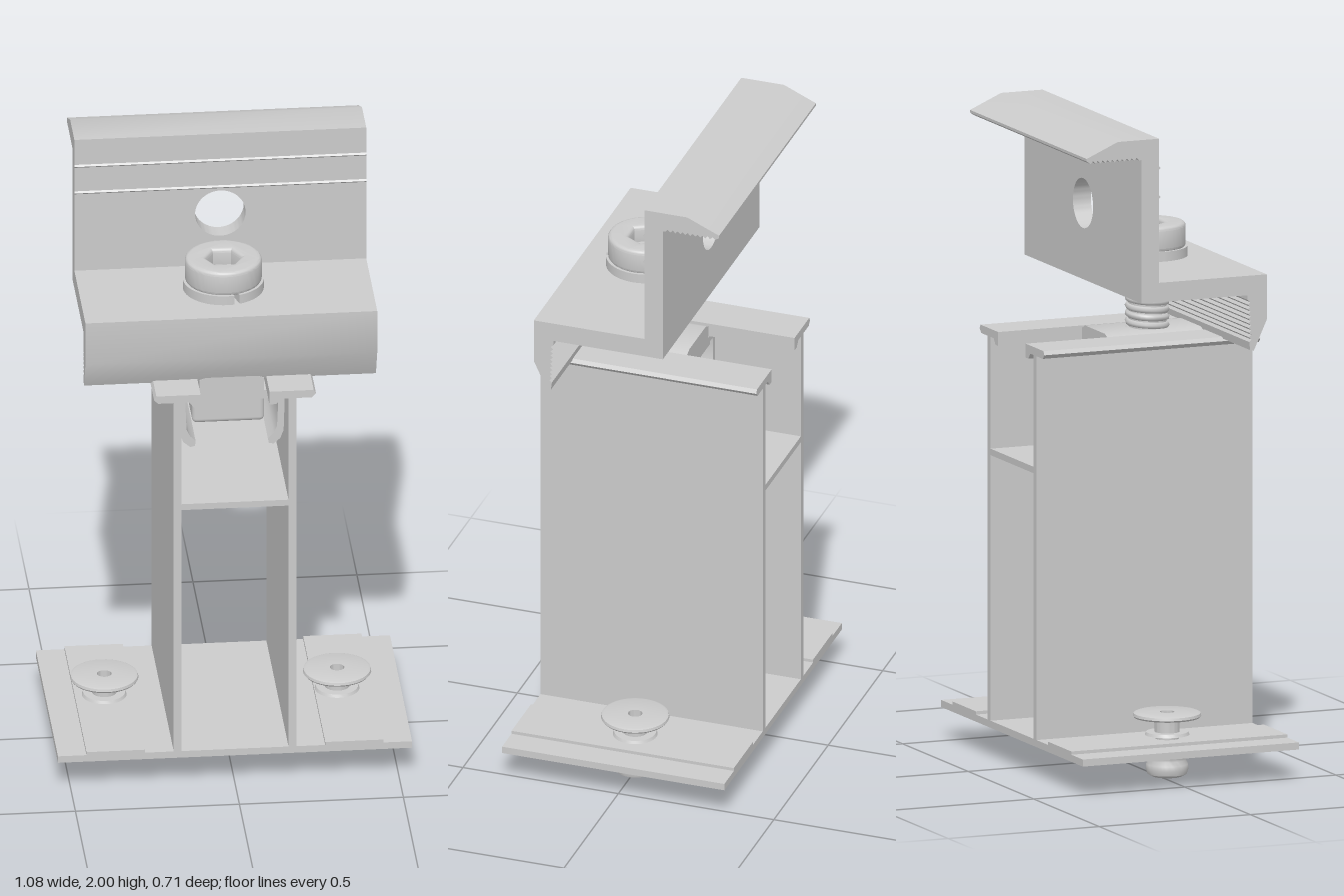
import * as THREE from 'three';
import { toCreasedNormals } from 'three/addons/utils/BufferGeometryUtils.js';
import { RoundedBoxGeometry } from 'three/addons/geometries/RoundedBoxGeometry.js';

const grey = new THREE.MeshStandardMaterial({ color: 0xcccccc });

function add(parent, name, geometry, x = 0, y = 0, z = 0) {
  const mesh = new THREE.Mesh(geometry, grey);
  mesh.name = name;
  mesh.position.set(x, y, z);
  parent.add(mesh);
  return mesh;
}

const polygon = (pts) => new THREE.Shape(pts.map(([a, b]) => new THREE.Vector2(a, b)));
const mirrored = (half) => polygon([...half, ...half.map(([x, y]) => [-x, y]).reverse()]);
const rect = (x0, y0, x1, y1) => polygon([[x0, y0], [x1, y0], [x1, y1], [x0, y1]]);
const circle = (x, y, r) => new THREE.Path().absarc(x, y, r, 0, Math.PI * 2);

function extrude(shape, depth, options = {}) {
  const geo = new THREE.ExtrudeGeometry(shape, { depth, bevelEnabled: false, curveSegments: 32, ...options });
  return toCreasedNormals(geo, 0.5);
}
// Plate drawn in (x, -z), extruded up from y = 0
const extrudeUp = (shape, depth, options) => extrude(shape, depth, options).rotateX(-Math.PI / 2);
// Profile drawn in (z, y), extruded across x
const extrudeAcross = (shape, x0, x1) => extrude(shape, x1 - x0).rotateY(-Math.PI / 2).translate(x1, 0, 0);

// Row of small teeth from a to b, standing out by (dx, dy)
function teeth(a, b, count, dx, dy) {
  const pts = [];
  for (let i = 0; i < count; i++) {
    for (const [t, k] of [[i / count, 0], [(i + 0.5) / count, 1]]) {
      pts.push([a[0] + (b[0] - a[0]) * t + dx * k, a[1] + (b[1] - a[1]) * t + dy * k]);
    }
  }
  return [...pts, b];
}

const RIVETS = [[-0.365, 0.012], [0.345, 0]];

function buildRail() {
  const rail = new THREE.Group();
  rail.name = 'rail';
  const back = -0.355, depth = 0.715, mid = back + depth / 2;

  // Two walls, web and top flanges with slot lips
  const column = mirrored([
    [0.187, 0.115], [0.187, 1.305], [0.235, 1.305], [0.247, 1.318], [0.24, 1.33], [0.105, 1.33],
    [0.105, 1.287], [0.125, 1.287], [0.14, 1.305], [0.163, 1.305], [0.163, 0.96]]);
  column.holes.push(rect(-0.163, 0.12, 0.163, 0.94));
  add(rail, 'railColumn', extrude(column, depth), 0, 0, back);

  // Base plate with rivet holes and raised bands
  const base = rect(-0.54, -depth / 2, 0.54, depth / 2);
  for (const [x] of RIVETS) {
    base.holes.push(circle(x, mid, 0.034));
    const inner = Math.sign(x) * 0.275, outer = Math.sign(x) * 0.453;
    const band = rect(Math.min(inner, outer), -depth / 2, Math.max(inner, outer), depth / 2);
    band.holes.push(circle(x, mid, 0.034));
    add(rail, 'raisedBand', extrudeUp(band, 0.01), 0, 0.12, mid);
  }
  add(rail, 'basePlate', extrudeUp(base, 0.022), 0, 0.098, mid);
  return rail;
}

function buildRivet() {
  const bore = 0.022;
  const profile = [
    [bore, 0.002], [0.045, 0.002], [0.06, 0.01], [0.065, 0.025], [0.064, 0.04], [0.057, 0.053],
    [0.058, 0.064], [0.068, 0.078], [0.069, 0.09], [0.062, 0.1], [0.036, 0.1], [0.036, 0.13],
    [0.068, 0.13], [0.064, 0.139], [0.038, 0.139], [0.038, 0.184], [0.1, 0.184], [0.104, 0.189],
    [0.102, 0.197], [0.095, 0.2], [bore, 0.2], [bore, 0.002]];
  return toCreasedNormals(
    new THREE.LatheGeometry(profile.map(([r, y]) => new THREE.Vector2(r, y)), 40).toNonIndexed(), 0.7);
}

function buildClamp() {
  const clamp = new THREE.Group();
  clamp.name = 'clamp';
  const x0 = -0.45, x1 = 0.44, wallFront = -0.063, wallBack = -0.122;

  // Foot with toothed jaw
  const foot = polygon([
    [wallBack, 1.6], [wallBack, 1.495], [0.23, 1.495],
    ...teeth([0.23, 1.48], [0.235, 1.35], 9, 0.008, 0),
    [0.238, 1.325], [0.25, 1.322], [0.293, 1.415], [0.293, 1.555], [wallFront, 1.555], [wallFront, 1.6]]);
  add(clamp, 'clampFoot', extrudeAcross(foot, x0, x1));

  // Wall with round hole
  const wall = rect(x0, 1.6, x1, 1.9);
  wall.holes.push(circle(-0.005, 1.73, 0.077));
  add(clamp, 'clampWall', extrude(wall, wallFront - wallBack), 0, 0, wallBack);

  // Top lip with toothed underside
  const lip = polygon([
    [wallFront, 1.9], [wallFront, 2], [-0.2, 2], [-0.303, 1.955], [-0.303, 1.947],
    ...teeth([-0.29, 1.938], [-0.13, 1.938], 10, 0, 0.008),
    [wallBack, 1.938], [wallBack, 1.9]]);
  add(clamp, 'clampLip', extrudeAcross(lip, x0, x1));

  // Thin ridges along the wall front
  for (const y of [1.82, 1.91]) {
    const ridge = polygon([[wallFront - 0.003, y - 0.008], [wallFront + 0.005, y], [wallFront - 0.003, y + 0.008]].reverse());
    add(clamp, 'clampRidge', extrudeAcross(ridge, x0, x1));
  }
  return clamp;
}

function buildBolt() {
  const bolt = new THREE.Group();
  bolt.name = 'bolt';

  // Rounded head with hexagonal socket
  const head = new THREE.Shape().absarc(0, 0, 0.117, 0, Math.PI * 2);
  const hexagon = [0, 1, 2, 3, 4, 5].map((i) => [0.055 * Math.cos(i * Math.PI / 3), 0.055 * Math.sin(i * Math.PI / 3)]);
  head.holes.push(polygon(hexagon));
  const bevel = 0.013;
  add(bolt, 'boltHead', extrudeUp(head, 0.08 - 2 * bevel, {
    bevelEnabled: true, bevelSize: bevel, bevelThickness: bevel, bevelOffset: -bevel, bevelSegments: 4,
  }), 0, 1.58 + bevel, 0);
  add(bolt, 'socketFloor', new THREE.CylinderGeometry(0.085, 0.085, 0.025, 32), 0, 1.595, 0);

  // Split spring washer, gap facing front
  const washer = new THREE.Shape();
  const gap = -Math.PI / 2 + 0.25;
  washer.absarc(0, 0, 0.123, gap + 0.07, gap + Math.PI * 2 - 0.07, false);
  washer.absarc(0, 0, 0.075, gap + Math.PI * 2 - 0.1, gap + 0.1, true);
  add(bolt, 'springWasher', extrudeUp(washer, 0.03), 0, 1.555, 0);

  // Shaft with helical thread
  add(bolt, 'boltShaft', new THREE.CylinderGeometry(0.058, 0.058, 0.34, 32), 0, 1.42, 0);
  const turns = 8, pitch = 0.024, pts = [];
  for (let i = 0; i <= turns * 20; i++) {
    const a = i / 20 * Math.PI * 2;
    pts.push(new THREE.Vector3(0.058 * Math.cos(a), 1.31 + pitch * i / 20, 0.058 * Math.sin(a)));
  }
  add(bolt, 'boltThread', new THREE.TubeGeometry(new THREE.CatmullRomCurve3(pts), turns * 28, 0.0105, 6));
  return bolt;
}

function buildSlotNut() {
  const nut = new THREE.Group();
  nut.name = 'slotNut';
  const back = -0.08, depth = 0.335;

  // Clip: neck in the slot, body below, hooked arms at both sides
  const clip = mirrored([
    [0.112, 1.255], [0.112, 1.265], [0.138, 1.265], [0.142, 1.255], [0.138, 1.16], [0.128, 1.138],
    [0.11, 1.118], [0.113, 1.103], [0.127, 1.1], [0.148, 1.118], [0.158, 1.145],
    [0.162, 1.27], [0.155, 1.284], [0.098, 1.284], [0.098, 1.325], [0.075, 1.335]]);
  add(nut, 'nutClip', extrude(clip, depth), 0, 0, back);
  add(nut, 'nutBlock', new RoundedBoxGeometry(0.22, 0.108, 0.22, 3, 0.015), -0.005, 1.203, 0.088);
  return nut;
}

export function createModel() {
  const model = new THREE.Group();
  model.name = 'railMountWithClamp';
  model.add(buildRail(), buildClamp(), buildSlotNut());

  const bolt = buildBolt();
  bolt.position.set(-0.01, 0, 0.088);
  model.add(bolt);

  const rivet = buildRivet();
  for (const [x, y] of RIVETS) add(model, 'rivet', rivet, x, y, 0);
  return model;
}
